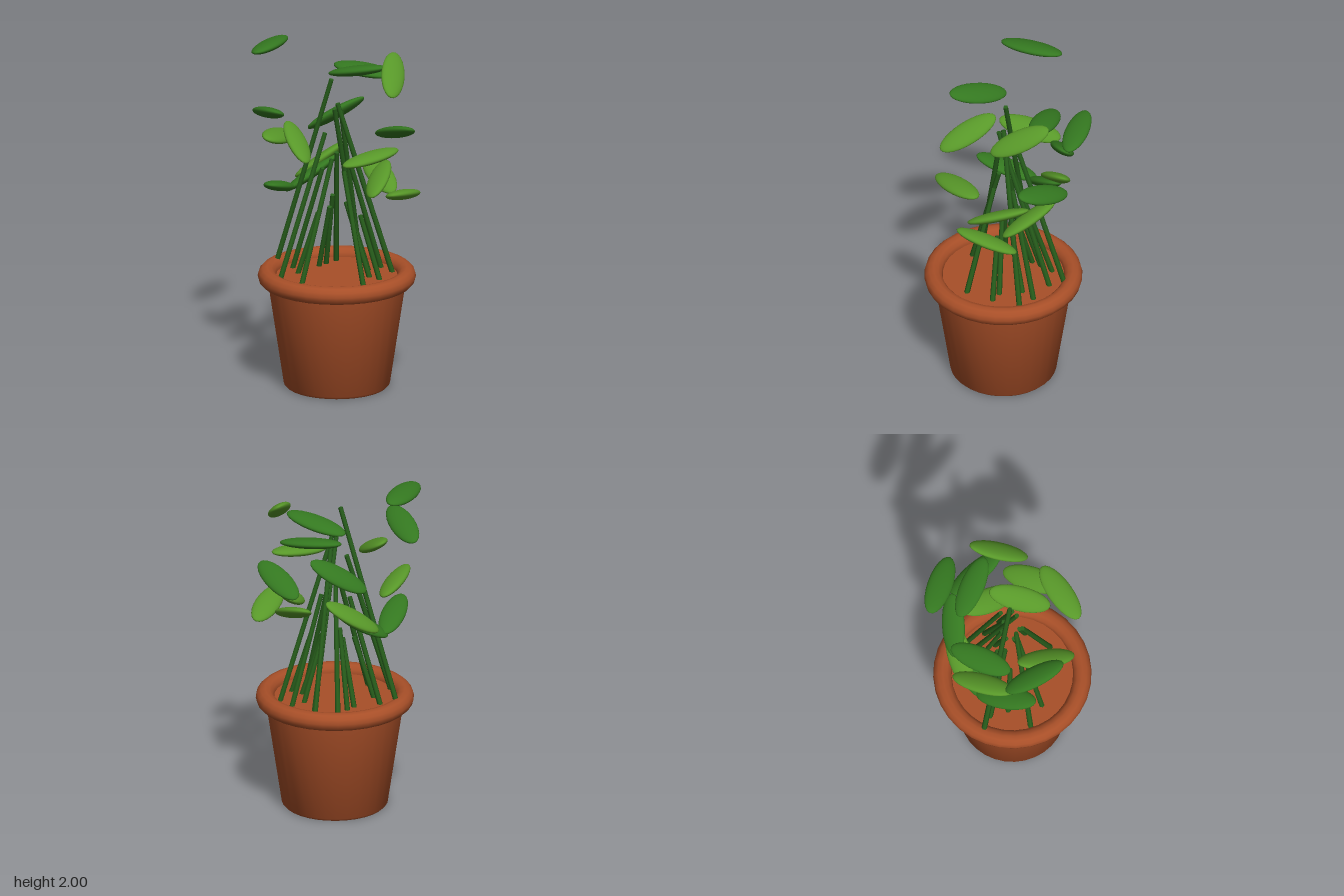
import * as THREE from 'three';
import { toCreasedNormals } from 'three/addons/utils/BufferGeometryUtils.js';

const mat = (name, color) => {
  const m = new THREE.MeshStandardMaterial({ color });
  m.name = name;
  return m;
};

const AXIS = new THREE.Vector3(0.01, 0, 0.025); // pot axis
const SOIL = 0.65;

// Leaves: centre, long-axis direction, roll about it, lime or not
const LEAVES = [
  [[-0.405, 1.97, -0.095], [0.05, 0, -0.18], -0.2, 0],
  [[0.312, 1.83, -0.1], [0.02, -0.08, 0.16], -0.5, 1],
  [[0.08, 1.807, -0.22], [0.172, 0.04, 0.045], -0.15, 0],
  [[0.083, 1.757, -0.405], [0.18, -0.015, 0.03], 0.15, 0],
  [[-0.353, 1.66, 0.208], [0.09, 0.045, 0.145], -0.35, 0],
  [[-0.177, 1.505, 0.248], [0.075, -0.07, 0.14], -0.4, 1],
  [[-0.062, 1.52, -0.305], [0.145, 0.085, -0.03], -0.5, 0],
  [[0.255, 1.443, 0.265], [0.13, 0.022, -0.125], 0, 1],
  [[0.297, 1.448, -0.232], [0.115, 0.055, 0.115], -0.35, 0],
  [[-0.355, 1.43, -0.09], [0.035, -0.03, -0.175], 0.38, 1],
  [[0.255, 1.245, 0.03], [0, 0.05, -0.155], -0.45, 1],
  [[0.407, 1.177, 0.08], [-0.04, 0.04, 0.17], 0.25, 1],
  [[-0.325, 1.172, 0.04], [-0.02, 0.05, 0.16], 0, 0],
  [[-0.135, 1.257, -0.26], [0.13, 0.09, -0.06], -0.4, 1],
  [[-0.18, 1.19, -0.19], [0.125, 0.085, -0.08], -0.35, 0],
  [[0.225, 1.22, -0.145], [0.1, -0.06, 0.13], 0.35, 1],
];

export function createModel() {
  const model = new THREE.Group();
  const clay = mat('terracotta', 0xa84f28);
  const stemGreen = mat('stem green', 0x28601c);
  const leafGreen = mat('leaf green', 0x347820);
  const lime = mat('lime green', 0x589829);

  const add = (name, geometry, material) => {
    const mesh = new THREE.Mesh(geometry, material);
    mesh.name = name;
    model.add(mesh);
    return mesh;
  };

  // Tapered pot, closed at the soil line
  const profile = [[0, 0], [0.29, 0], [0.304, 0.015], [0.4, 0.655], [0, 0.655]]
    .map(([r, y]) => new THREE.Vector2(r, y));
  add('pot', toCreasedNormals(new THREE.LatheGeometry(profile, 32), 0.9), clay).position.copy(AXIS);

  // Rolled rim
  const rim = add('rim', new THREE.TorusGeometry(0.4, 0.053, 12, 32).rotateX(Math.PI / 2), clay);
  rim.position.set(AXIS.x, 0.653, AXIS.z);

  const leafGeometry = new THREE.SphereGeometry(1, 24, 16).scale(0.186, 0.03, 0.072);
  const up = new THREE.Vector3(0, 1, 0);

  for (const [centre, along, roll, isLime] of LEAVES) {
    // Leaf: yaw and pitch to the long axis, then roll
    const leaf = add('leaf', leafGeometry, isLime ? lime : leafGreen);
    const [dx, dy, dz] = along;
    leaf.position.set(...centre);
    leaf.rotation.set(roll, Math.atan2(-dz, dx), Math.atan2(dy, Math.hypot(dx, dz)), 'YZX');

    // Stem: centred halfway out towards the leaf, leaning in to the middle
    const out = new THREE.Vector3(centre[0] - AXIS.x, 0, centre[2] - AXIS.z);
    const height = centre[1] - 0.15 - SOIL;
    const lean = out.clone().normalize().multiplyScalar(-0.31).add(up);
    const stem = add('stem', new THREE.CylinderGeometry(0.014, 0.016, height * lean.length(), 6), stemGreen);
    stem.position.copy(AXIS).addScaledVector(out, 0.5).setY(SOIL + height / 2);
    stem.quaternion.setFromUnitVectors(up, lean.normalize());
  }
  return model;
}
